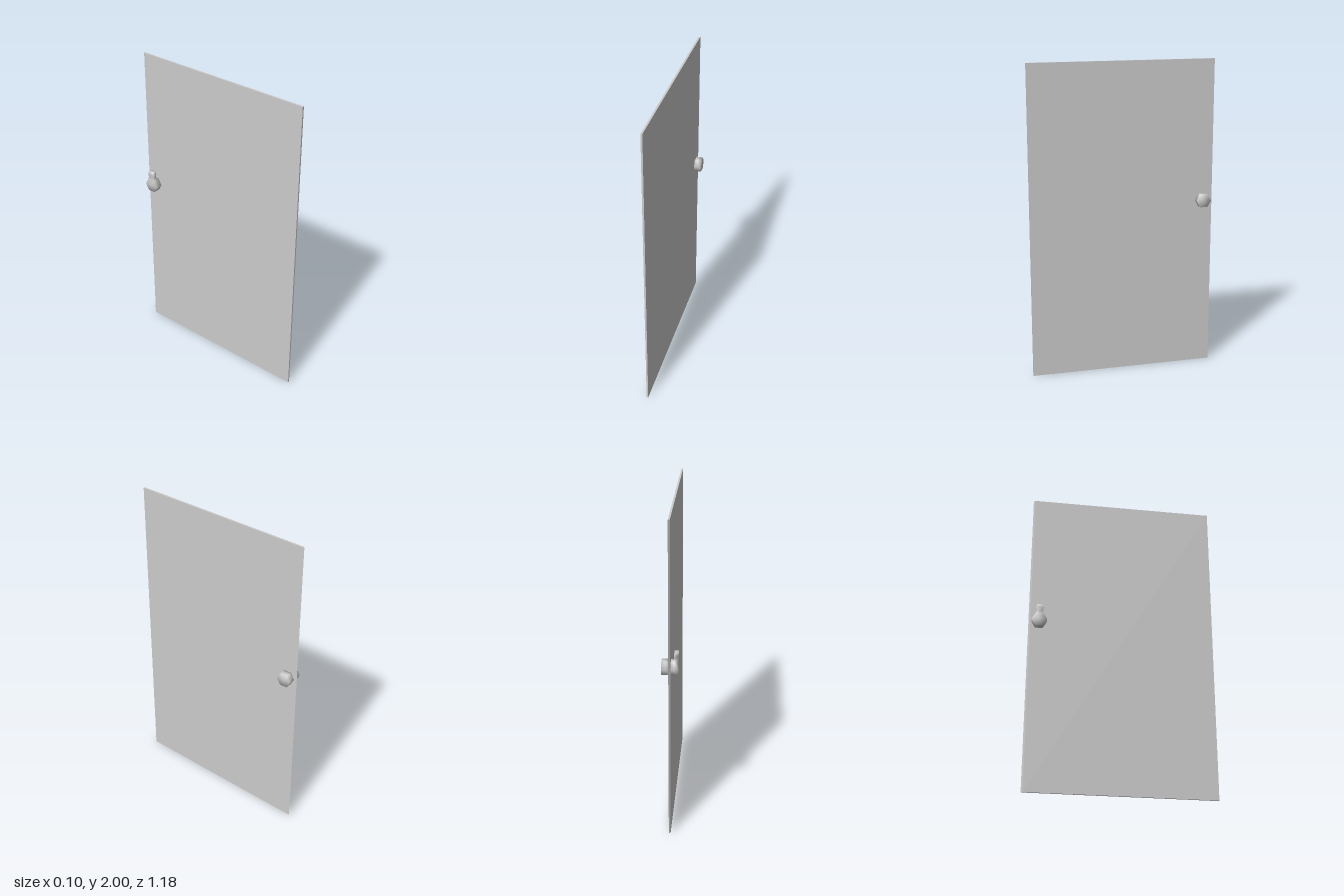
import * as THREE from 'three';
import { mergeGeometries, mergeVertices } from 'three/addons/utils/BufferGeometryUtils.js';

const material = new THREE.MeshStandardMaterial({ color: 0xcccccc });
const KNOB = { y: 1.103, z: -0.526, radius: 0.048, length: 0.05 };
const FLAT = KNOB.radius * Math.sqrt(3) / 2; // height of the flat top above the axis

// Shares the corner vertices so the normals run smoothly over every edge
function smooth(geometry) {
  geometry.deleteAttribute('normal');
  geometry.deleteAttribute('uv');
  const merged = mergeVertices(geometry, 1e-5);
  merged.computeVertexNormals();
  return merged;
}

// Thin leaf whose back edge is bevelled towards the right face
function panelGeometry() {
  const geometry = new THREE.BoxGeometry(0.011, 2, 1.184).toNonIndexed();
  const p = geometry.attributes.position;
  for (let i = 0; i < p.count; i++) {
    if (p.getX(i) < 0 && p.getZ(i) < 0) p.setZ(i, p.getZ(i) + 0.011);
  }
  geometry.computeVertexNormals();
  return geometry;
}

// Six-sided prism along x, with corners pointing to +z and -z
function prism(side) {
  const { radius, length } = KNOB;
  const geometry = new THREE.CylinderGeometry(radius, radius, length, 6, 2);
  geometry.rotateZ(-Math.PI / 2);
  return geometry.translate(side * length / 2, 0, 0);
}

// Knob with a shallow notch in the corner facing the middle of the door
function notchedKnob() {
  const geometry = prism(1);
  const p = geometry.attributes.position;
  for (let i = 0; i < p.count; i++) {
    const middle = Math.abs(p.getX(i) - KNOB.length / 2) < 1e-4;
    if (middle && p.getZ(i) > KNOB.radius * 0.9) p.setZ(i, KNOB.radius - 0.011);
  }
  return smooth(geometry);
}

// Upright lever with a slight neck and a bevelled head
function leverGeometry(depth, height) {
  const widths = [1, 0.82, 1, 0.68];
  const geometry = new THREE.BoxGeometry(depth, height, KNOB.radius, 1, 3, 1);
  const p = geometry.attributes.position;
  for (let i = 0; i < p.count; i++) {
    const ring = Math.round((p.getY(i) / height + 0.5) * 3);
    p.setZ(i, p.getZ(i) * widths[ring]);
  }
  return geometry.translate(-1.5 * depth, FLAT + height / 2, 0);
}

// Knob whose outer half of the flat top rises into the lever
function leverKnob() {
  const half = KNOB.length / 2;
  const lever = leverGeometry(half, 1.205 - KNOB.y - FLAT);
  const joined = smooth(mergeGeometries([prism(-1), lever]));

  // Drop the faces hidden where lever and knob meet
  const p = joined.attributes.position;
  const index = joined.index.array;
  const atJoint = (v) => Math.abs(p.getY(v) - FLAT) < 1e-4 && p.getX(v) < -half + 1e-4;
  const kept = [];
  for (let i = 0; i < index.length; i += 3) {
    const face = [index[i], index[i + 1], index[i + 2]];
    if (!face.every(atJoint)) kept.push(...face);
  }
  joined.setIndex(kept);
  joined.computeVertexNormals();
  return joined;
}

export function createModel() {
  const door = new THREE.Group();
  door.name = 'door';

  const add = (name, geometry, x, y, z) => {
    const mesh = new THREE.Mesh(geometry, material);
    mesh.name = name;
    mesh.position.set(x, y, z);
    door.add(mesh);
  };

  // Door leaf
  add('panel', panelGeometry(), 0.001, 1, 0);

  // Knob on the left face, knob with lever on the right face
  add('leftKnob', notchedKnob(), 0, KNOB.y, KNOB.z);
  add('rightLeverKnob', leverKnob(), 0, KNOB.y, KNOB.z);

  return door;
}
